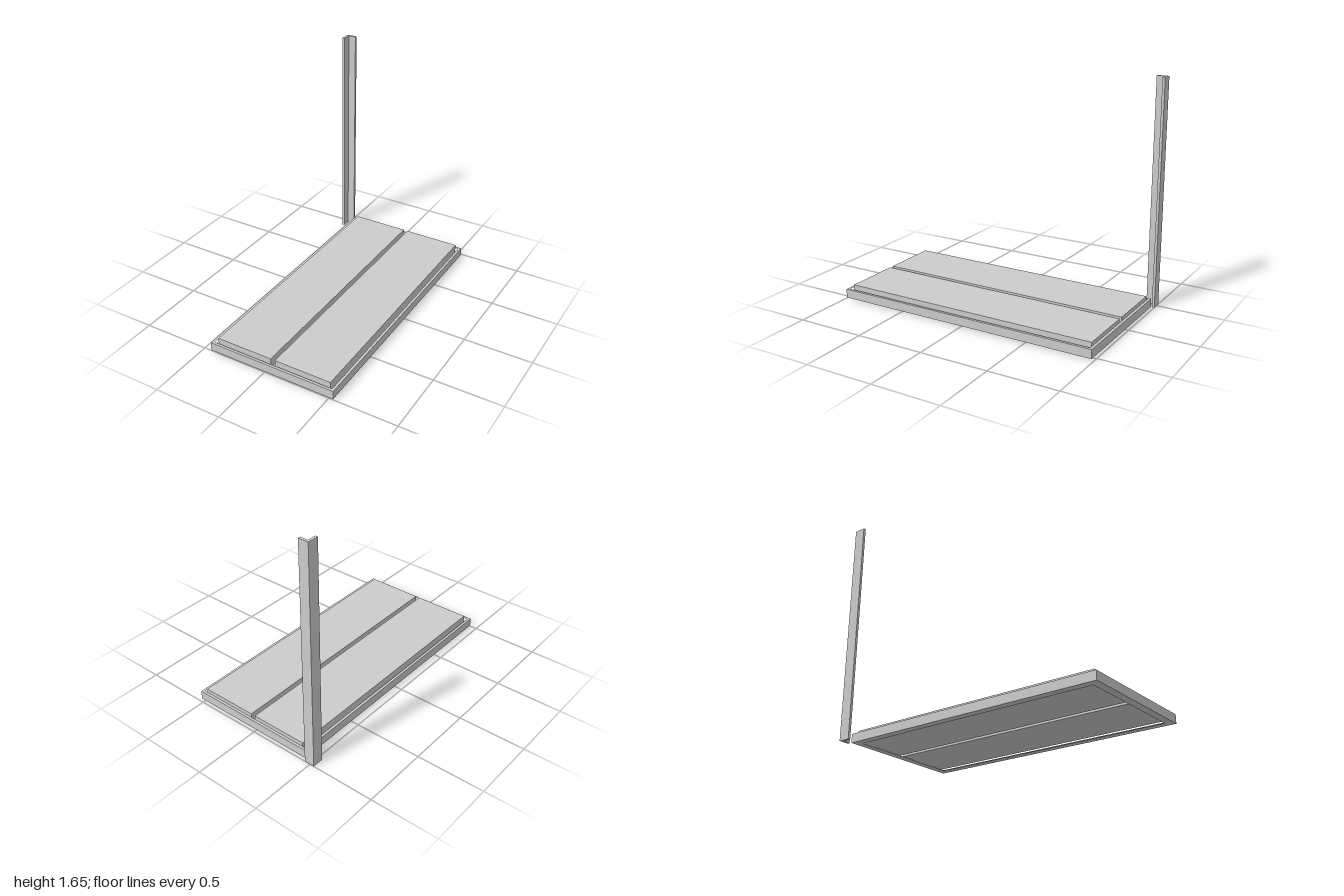
import * as THREE from 'three';

const grey = new THREE.MeshStandardMaterial({ color: 0xcccccc, flatShading: true });

// Box given by its minimum and maximum corners
function box(name, [x0, y0, z0], [x1, y1, z1]) {
  const mesh = new THREE.Mesh(new THREE.BoxGeometry(x1 - x0, y1 - y0, z1 - z0), grey);
  mesh.position.set((x0 + x1) / 2, (y0 + y1) / 2, (z0 + z1) / 2);
  mesh.name = name;
  return mesh;
}

// Closed outline in plan; z is flipped so that extrusion can be stood upright
function outline(points, Type = THREE.Shape) {
  return new Type(points.map(([x, z]) => new THREE.Vector2(x, -z)));
}
const rect = (x0, z0, x1, z1) => [[x0, z0], [x1, z0], [x1, z1], [x0, z1]];

// Extrudes a plan outline from y0 up to y1
function upright(name, shape, y0, y1) {
  const geometry = new THREE.ExtrudeGeometry(shape, { depth: y1 - y0, bevelEnabled: false });
  geometry.rotateX(-Math.PI / 2);
  const mesh = new THREE.Mesh(geometry, grey);
  mesh.position.y = y0;
  mesh.name = name;
  return mesh;
}

// Rectangular ring inside the frame's outer edge
function ring(name, width, y0, y1) {
  const [x0, z0, x1, z1] = [-0.443, -0.979, 0.533, 1];
  const shape = outline(rect(x0, z0, x1, z1));
  shape.holes.push(outline(rect(x0 + width, z0 + width, x1 - width, z1 - width), THREE.Path));
  return upright(name, shape, y0, y1);
}

export function createModel() {
  const model = new THREE.Group();
  model.name = 'hatchAndPost';

  // Angle-section frame: supporting ledge below, upright rim above
  const frame = new THREE.Group();
  frame.name = 'frame';
  frame.add(ring('frameLedge', 0.057, 0.005, 0.024));
  frame.add(ring('frameRim', 0.019, 0.024, 0.069));
  model.add(frame);

  // Two cover panels resting on the ledge
  model.add(box('rightPanel', [-0.403, 0.024, -0.958], [0.028, 0.097, 0.963]));
  model.add(box('leftPanel', [0.061, 0.024, -0.958], [0.491, 0.097, 0.963]));

  // Angle-section corner post
  const angle = outline([
    [-0.533, -1], [-0.457, -1], [-0.457, -0.981],
    [-0.514, -0.981], [-0.514, -0.917], [-0.533, -0.917],
  ]);
  model.add(upright('cornerPost', angle, 0, 1.65));

  return model;
}
